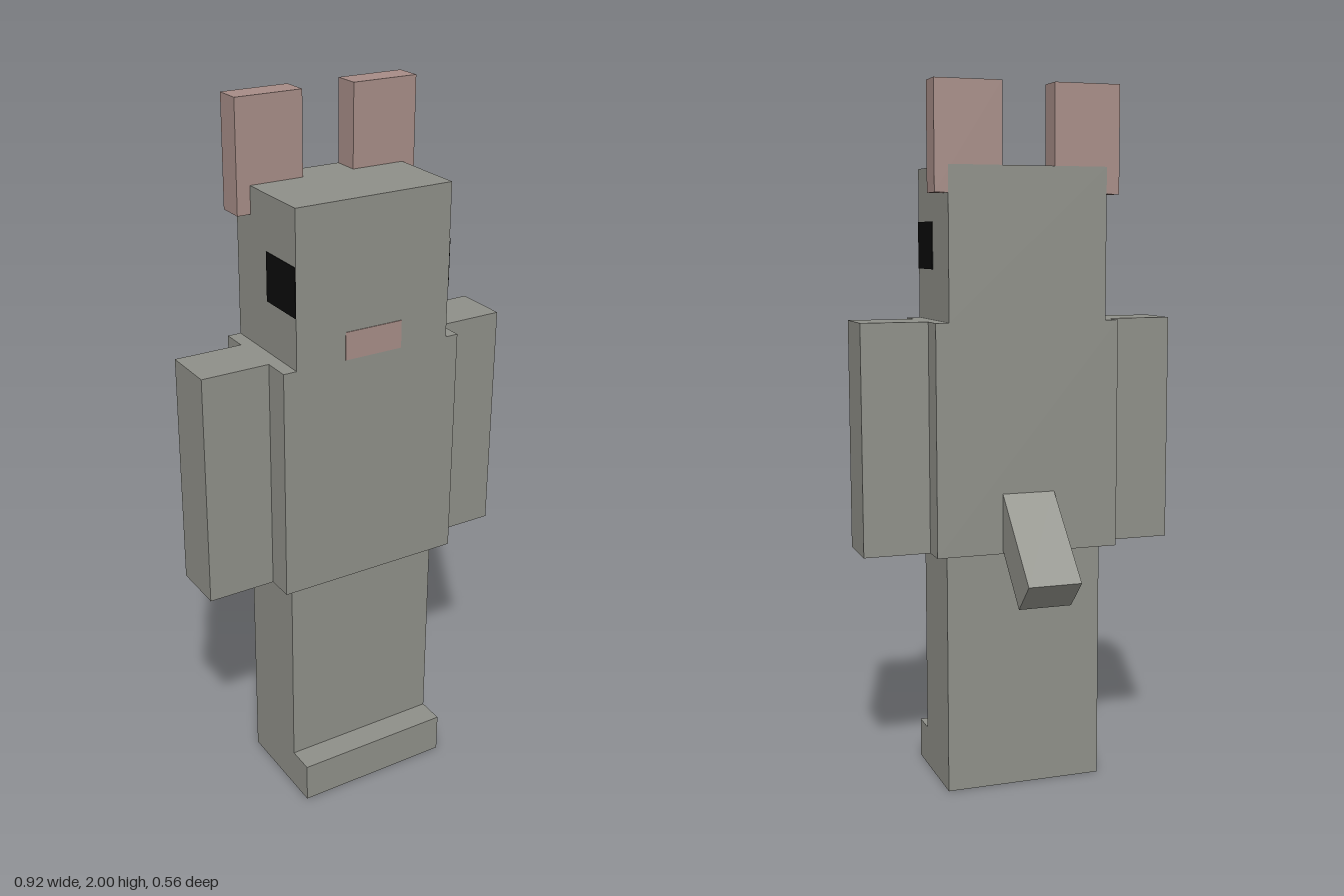
import * as THREE from 'three';

export function createModel() {
  const model = new THREE.Group();
  model.name = 'blockyAnimal';

  const material = (name, color) => {
    const m = new THREE.MeshStandardMaterial({ color });
    m.name = name;
    return m;
  };
  const fur = material('grey fur', 0x8e8f88);
  const pink = material('dusty pink', 0xa68c86);
  const black = material('eye black', 0x0b0b0b);

  // Axis-aligned block given by its extents
  function block(name, mat, [x0, x1], [y0, y1], [z0, z1]) {
    const mesh = new THREE.Mesh(new THREE.BoxGeometry(x1 - x0, y1 - y0, z1 - z0), mat);
    mesh.position.set((x0 + x1) / 2, (y0 + y1) / 2, (z0 + z1) / 2);
    mesh.name = name;
    model.add(mesh);
    return mesh;
  }

  // Head, torso, legs and feet
  block('head', fur, [-0.23, 0.23], [1.35, 1.775], [-0.063, 0.243]);
  block('torso', fur, [-0.268, 0.268], [0.697, 1.35], [-0.063, 0.243]);
  block('legs', fur, [-0.23, 0.23], [0, 0.697], [-0.025, 0.204]);
  block('feet', fur, [-0.23, 0.23], [0, 0.115], [0.204, 0.281]);

  // Mirrored arms, ears and eyes
  for (const [side, s] of [['left', 1], ['right', -1]]) {
    const span = (a, b) => (s > 0 ? [a, b] : [-b, -a]);
    block(side + 'Arm', fur, span(0.268, 0.46), [0.697, 1.35], [0.012, 0.166]);
    block(side + 'Ear', pink, span(0.076, 0.268), [1.70, 2], [-0.062, 0.013]);
    block(side + 'Eye', black, span(0.229, 0.232), [1.492, 1.625], [0.095, 0.243]);
  }

  // Nose patch at the foot of the face
  block('nose', pink, [-0.085, 0.085], [1.35, 1.427], [0.242, 0.245]);

  // Tail slanting down and back at 45 degrees
  const length = 0.32;
  const tail = new THREE.Mesh(new THREE.BoxGeometry(0.153, 0.115, length), fur);
  tail.name = 'tail';
  tail.rotation.x = -Math.PI / 4;
  const offset = length / 2 * Math.SQRT1_2;
  tail.position.set(0, 0.61 + offset, -0.24 + offset);
  model.add(tail);

  return model;
}
